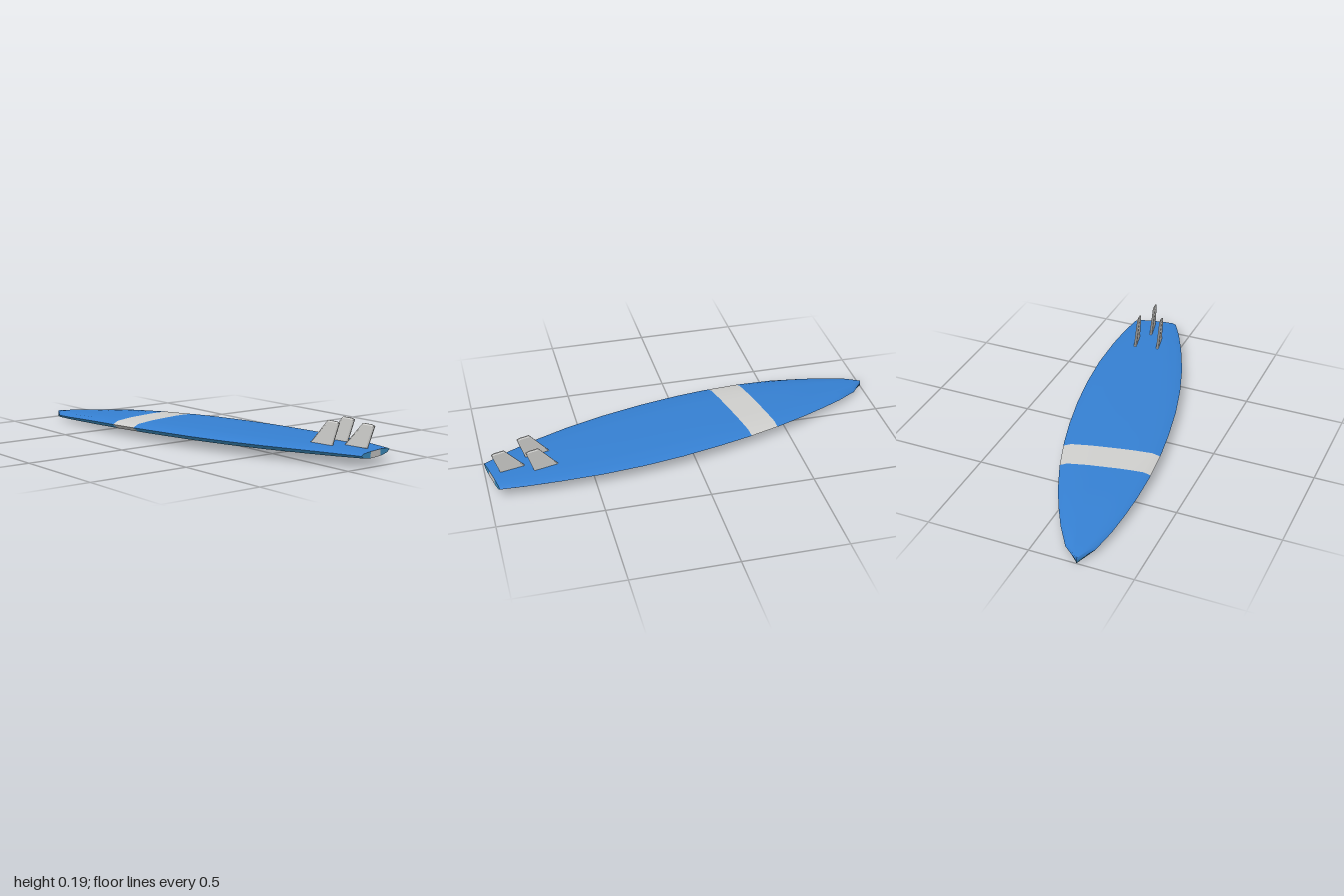
import * as THREE from 'three';

const mat = (name, color) => Object.assign(new THREE.MeshStandardMaterial({ color }), { name });

// Board stations from nose to tail: distance, half width, deck, rail and hull heights
const STATIONS = [
  [0, 0, 0.034, 0.018, 0.003], [0.08, 0.067, 0.043, 0.024, 0.006],
  [0.2, 0.116, 0.053, 0.034, 0.010], [0.32, 0.153, 0.062, 0.043, 0.013],
  [0.44, 0.184, 0.069, 0.050, 0.015], [0.588, 0.212, 0.074, 0.055, 0.018],
  [0.618, 0.217, 0.075, 0.056, 0.018], [0.772, 0.235, 0.078, 0.059, 0.020],
  [0.802, 0.238, 0.079, 0.060, 0.020], [0.95, 0.247, 0.081, 0.062, 0.022],
  [1.15, 0.250, 0.082, 0.063, 0.024], [1.35, 0.241, 0.082, 0.064, 0.026],
  [1.55, 0.220, 0.081, 0.065, 0.029], [1.75, 0.184, 0.079, 0.065, 0.032],
  [1.9, 0.149, 0.075, 0.063, 0.035], [2.02, 0.113, 0.070, 0.059, 0.039],
];
const STRIPE = [0.618, 0.772];
const LAST = STATIONS.length - 1;

// Columns across the board; the middle pair follows the edges of the long stripe
function columns([s, w]) {
  const widen = s > 0.6 && s < 0.79 ? 0.03 : 0;
  const g = Math.min(0.042, 0.35 * w) + widen;
  return [-w, -0.84 * w, -0.5 * w, -g, g, 0.5 * w, 0.84 * w, w];
}

// One cross-section of the deck or hull, curving away from the rail
function section(station, isDeck) {
  const [s, , top, rail, bottom] = station;
  const target = isDeck ? top : bottom;
  const rise = isDeck ? [0, 0.72, 0.94, 1] : [0, 0.62, 0.92, 1];
  return columns(station).map((x, j) => [x, rail + (target - rail) * rise[Math.min(j, 7 - j)], s]);
}

// Surface through rows of points, each cell choosing one of two materials
function skin(name, rows, flip, materials, pick) {
  const n = rows[0].length;
  const faces = [[], []];
  for (let i = 0; i < rows.length - 1; i++) {
    for (let j = 0; j < n - 1; j++) {
      const a = i * n + j, b = a + n, c = a + 1, d = b + 1;
      faces[pick(i, j)].push(...(flip ? [a, c, b, b, c, d] : [a, b, c, b, d, c]));
    }
  }
  const geo = new THREE.BufferGeometry();
  geo.setAttribute('position', new THREE.Float32BufferAttribute(rows.flat(2), 3));
  geo.setIndex(faces.flat());
  geo.addGroup(0, faces[0].length, 0);
  geo.addGroup(faces[0].length, faces[1].length, 1);
  geo.computeVertexNormals();
  const mesh = new THREE.Mesh(geo, materials);
  mesh.name = name;
  return mesh;
}

// Swept-back fin with bevelled edges
function fin(name, x, z, height, material) {
  const shape = new THREE.Shape([[0, 0.07], [0.125, 0.07], [0.162, height - 0.007], [0.145, height - 0.002], [0.1, height]]
    .map(([a, b]) => new THREE.Vector2(a, b)));
  const geo = new THREE.ExtrudeGeometry(shape, {
    depth: 0.005, bevelEnabled: true, bevelThickness: 0.004, bevelSize: 0.006, bevelOffset: -0.006, bevelSegments: 1,
  });
  geo.translate(0, 0, -0.0025).rotateY(-Math.PI / 2);
  const mesh = new THREE.Mesh(geo, material);
  mesh.name = name;
  mesh.position.set(x, 0, z);
  return mesh;
}

export function createModel() {
  const deckBlue = mat('deck blue', 0x3580d2);
  const hullBlue = mat('hull blue', 0x3f92c6);
  const grey = mat('light grey', 0xcfcfcd);

  const deckRows = STATIONS.map((st) => section(st, true));
  const hullRows = STATIONS.map((st) => section(st, false));
  const inBand = (i) => STATIONS[i][0] >= STRIPE[0] && STATIONS[i + 1][0] <= STRIPE[1];

  // Board lies along its own z axis, nose at the origin
  const board = new THREE.Group();
  board.name = 'board';
  board.add(
    skin('deck', deckRows, false, [deckBlue, grey], (i) => (inBand(i) ? 1 : 0)),
    skin('hull', hullRows, true, [hullBlue, grey], (i, j) => (inBand(i) || (i > 0 && j === 3) ? 1 : 0)),
    skin('tailFace', [hullRows[LAST], deckRows[LAST]], true, [hullBlue, grey], (i, j) => (j === 3 ? 1 : 0)),
  );

  // Three fins near the tail
  for (const side of [-1, 1]) {
    board.add(fin(side < 0 ? 'rightFin' : 'leftFin', side * 0.06, 1.705, 0.19, grey));
  }
  board.add(fin('centreFin', 0, 1.852, 0.185, grey));

  board.rotation.y = 0.2096;
  board.position.set(-0.23, 0, -1);

  const model = new THREE.Group();
  model.name = 'surfboard';
  model.add(board);
  return model;
}
